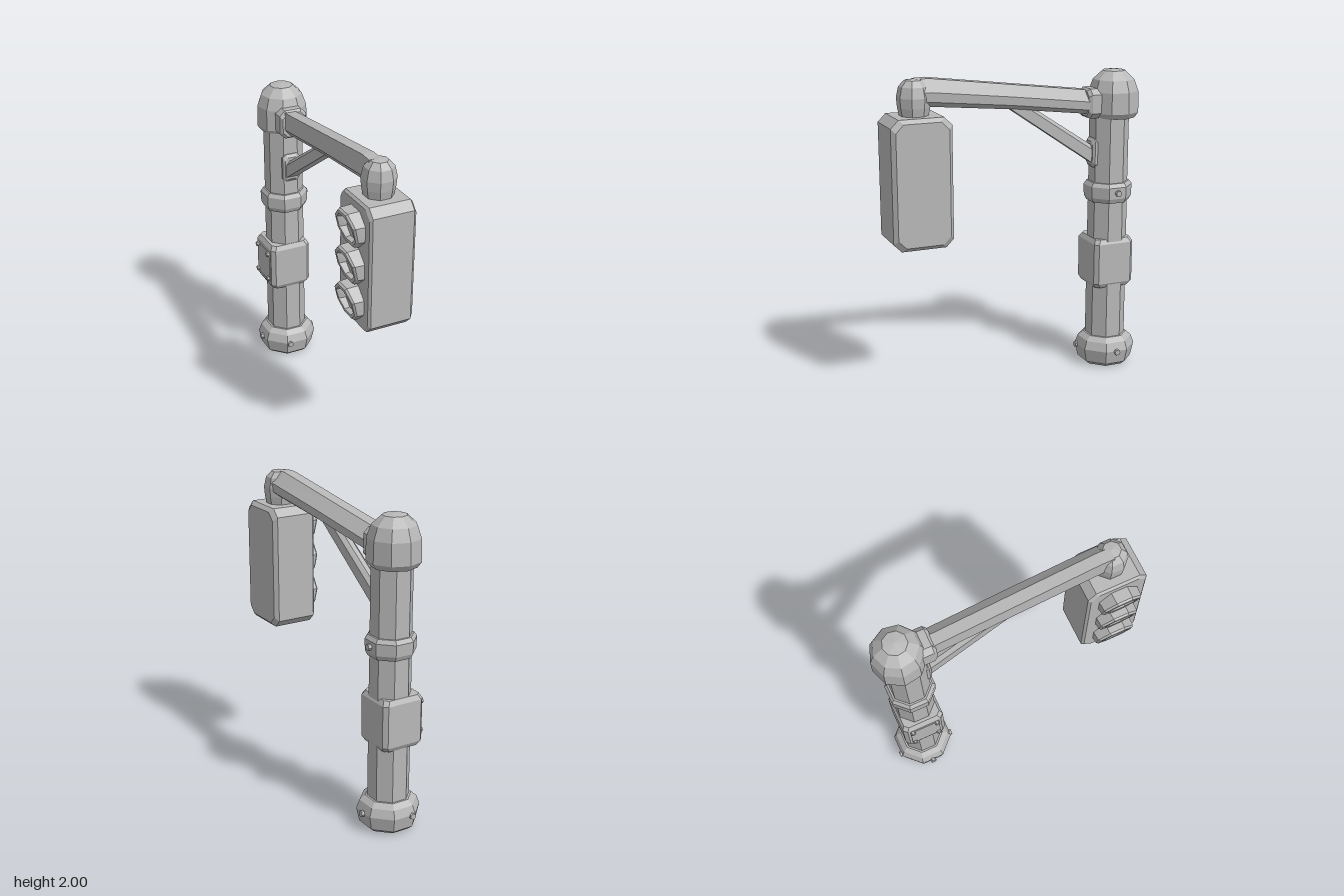
import * as THREE from 'three';

const metal = new THREE.MeshStandardMaterial({ color: 0xb8b8b8, flatShading: true });

// Skins a list of equal-length rings of [x, y, z] and closes both ends
function loft(rings) {
  const tris = [];
  const n = rings[0].length;
  for (let r = 0; r < rings.length - 1; r++) {
    for (let i = 0; i < n; i++) {
      const j = (i + 1) % n;
      const a = rings[r][i], b = rings[r][j], c = rings[r + 1][j], d = rings[r + 1][i];
      tris.push([a, b, c], [a, c, d]);
    }
  }
  const first = rings[0], last = rings[rings.length - 1];
  for (let i = 1; i < n - 1; i++) {
    tris.push([first[0], first[i + 1], first[i]], [last[0], last[i], last[i + 1]]);
  }
  // Turn the faces outward if the ring order made the volume negative
  const v = tris.map(t => t.map(p => new THREE.Vector3(...p)));
  const volume = v.reduce((s, [a, b, c]) => s + a.dot(b.clone().cross(c)), 0);
  const flat = v.flatMap(([a, b, c]) => (volume < 0 ? [a, c, b] : [a, b, c]));
  const g = new THREE.BufferGeometry().setFromPoints(flat);
  g.computeVertexNormals();
  return g;
}

// Faceted turned part from [radius, height] pairs, standing at x, z
function turned(profile, sides, x, z) {
  const g = new THREE.LatheGeometry(profile.map(p => new THREE.Vector2(...p)), sides, Math.PI / sides);
  return g.translate(x, 0, z);
}

// Rectangle with cut corners, as [u, v] pairs
function cutRect(u, v, c) {
  return [[u - c, v], [u, v - c], [u, c - v], [u - c, -v], [c - u, -v], [-u, c - v], [-u, v - c], [c - u, v]];
}

export function createModel() {
  const model = new THREE.Group();
  const add = (name, geometry, parent = model) => {
    const mesh = new THREE.Mesh(geometry, metal);
    mesh.name = name;
    parent.add(mesh);
    return mesh;
  };
  const PX = 0.015, PZ = -0.66;

  // Post, foot, collar and domed cap
  add('post', turned([[0, 0.1], [0.132, 0.1], [0.13, 0.9], [0.128, 1.15], [0.128, 1.72], [0, 1.72]], 8, PX, PZ));
  add('foot', turned([[0, 0], [0.15, 0.005], [0.18, 0.03], [0.2, 0.12], [0.18, 0.175], [0.145, 0.205], [0, 0.205]], 8, PX, PZ));
  add('collar', turned([[0, 1.125], [0.14, 1.13], [0.155, 1.16], [0.158, 1.235], [0.14, 1.26], [0, 1.26]], 8, PX, PZ));
  add('postCap', turned([[0, 1.68], [0.14, 1.68], [0.165, 1.715], [0.162, 1.85], [0.135, 1.925], [0.075, 1.98], [0, 1.99]], 9, 0.02, -0.685));

  // Control box around the post
  const boxRing = (y, s) => cutRect(0.142 * s, 0.14 * s, 0.025).map(([x, z]) => [x, y, z + PZ]);
  add('controlBox', loft([boxRing(0.555, 0.88), boxRing(0.585, 1), boxRing(0.855, 1), boxRing(0.885, 0.88)]));
  add('controlDoor', new THREE.BoxGeometry(0.009, 0.22, 0.2).translate(-0.144, 0.72, PZ));

  // Small bolts
  const bolt = (name, x, y, z, alongX, r = 0.02) => {
    const g = new THREE.CylinderGeometry(r, r, 0.035, 6);
    if (alongX) g.rotateZ(Math.PI / 2);
    else g.rotateX(Math.PI / 2);
    add(name, g.translate(x, y, z));
  };
  for (const y of [0.63, 0.82]) {
    for (const dz of [-0.085, 0.085]) bolt('doorBolt', -0.146, y, PZ + dz, true, 0.016);
  }
  for (const s of [-1, 1]) {
    bolt('footBolt', PX + s * 0.185, 0.115, PZ, true);
    bolt('footBolt', -0.04, 0.115, PZ + s * 0.18, false);
  }
  bolt('collarBolt', 0.165, 1.2, PZ, true);

  // Arm with a slanted upper side
  const section = [[-0.05, 0.25], [-0.045, 1], [0.03, 1], [0.1, 0.55], [0.095, 0.2], [0.05, 0], [-0.02, 0]];
  const armRing = (z, low, high) => section.map(([x, t]) => [x, low + t * (high - low), z]);
  add('arm', loft([armRing(-0.6, 1.7, 1.85), armRing(0.05, 1.78, 1.932), armRing(0.57, 1.83, 1.998), armRing(0.65, 1.84, 1.995)]));
  const socketRing = (z, s) => cutRect(0.092 * s, 0.095 * s, 0.035).map(([x, y]) => [x + 0.015, y + 1.78, z]);
  add('armSocket', loft([socketRing(-0.62, 1), socketRing(-0.495, 1), socketRing(-0.475, 0.85)]));
  add('armElbow', turned([[0, 1.76], [0.088, 1.77], [0.1, 1.83], [0.105, 1.89], [0.09, 1.955], [0.055, 1.992], [0, 2]], 8, 0.015, 0.66));

  // Brace under the arm and its foot plate
  const braceRing = (z1, y1, z2, y2, w) => [[-w, 0], [-w, 0.75], [-w * 0.4, 1], [w * 0.4, 1], [w, 0.75], [w, 0]]
    .map(([x, t]) => [x + PX, y1 + t * (y2 - y1), z1 + t * (z2 - z1)]);
  add('brace', loft([braceRing(-0.57, 1.36, -0.55, 1.49, 0.04), braceRing(0.06, 1.79, -0.1, 1.785, 0.04)]));
  const plateRing = (z, s) => cutRect(0.06 * s, 0.095 * s, 0.02).map(([x, y]) => [x + PX, y + 1.455, z]);
  add('bracePlate', loft([plateRing(-0.6, 1), plateRing(-0.535, 1), plateRing(-0.52, 0.8)]));

  // Signal head: cut-cornered housing with bevelled sides
  const head = new THREE.Group();
  head.name = 'signalHead';
  model.add(head);
  const headRing = (x, inset) => cutRect(0.193 - inset, 0.405 - inset, 0.05).map(([z, y]) => [x, y + 1.375, z + 0.655]);
  add('housing', loft([headRing(-0.132, 0.015), headRing(-0.118, 0), headRing(0.145, 0), headRing(0.17, 0.025)]), head);

  // Three hooded lamps, each hood deeper at the top than at the bottom
  const lampRing = (cy, r, depth) => Array.from({ length: 8 }, (_, i) => {
    const a = (i + 0.5) * Math.PI / 4;
    const up = Math.sin(a);
    return [-0.13 - depth(up), cy + r * up, 0.66 + r * 1.1 * Math.cos(a)];
  });
  for (const cy of [1.61, 1.37, 1.13]) {
    const rim = up => 0.064 + 0.025 * up;
    add('lampHood', loft([
      lampRing(cy, 0.125, () => -0.02),
      lampRing(cy, 0.12, up => rim(up) - 0.012),
      lampRing(cy, 0.11, rim),
      lampRing(cy, 0.09, rim),
      lampRing(cy, 0.08, () => 0.012),
    ]), head);
  }
  return model;
}
